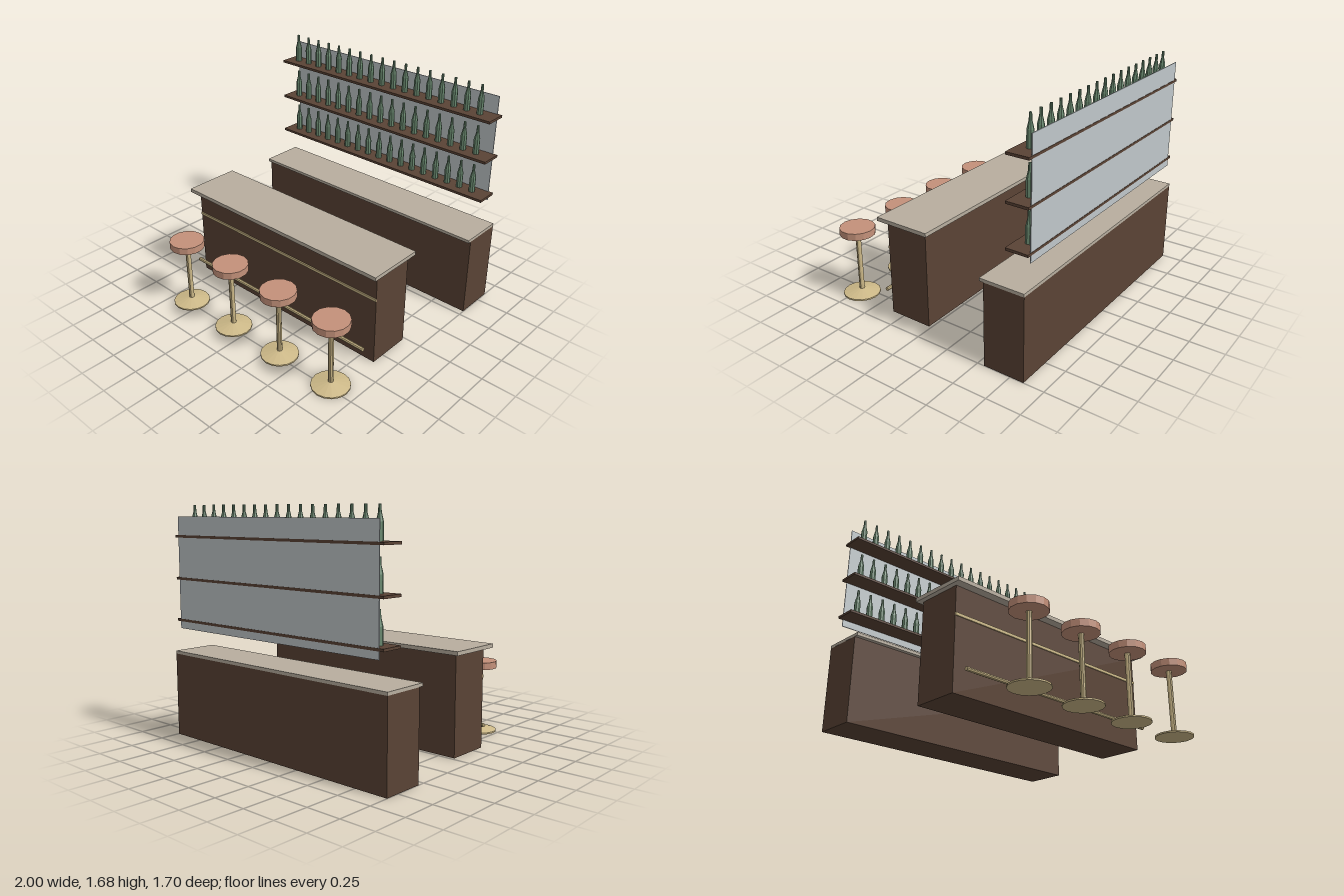
import * as THREE from 'three';

const mat = (name, color, extra = {}) => {
  const m = new THREE.MeshStandardMaterial({ color, ...extra });
  m.name = name;
  return m;
};

export function createModel() {
  const wood = mat('dark wood', 0x5a4335);
  const stone = mat('counter stone', 0xb8ae9f);
  const brass = mat('brass', 0xcdb988, { flatShading: true });
  const leather = mat('seat leather', 0xc4917a, { flatShading: true });
  const glass = mat('bottle green', 0x6a8a70, { flatShading: true });
  const mirror = mat('mirror', 0xc0c7ca);

  const root = new THREE.Group();
  root.name = 'bar';

  const add = (parent, name, geometry, material, x = 0, y = 0, z = 0) => {
    const mesh = new THREE.Mesh(geometry, material);
    mesh.name = name;
    mesh.position.set(x, y, z);
    parent.add(mesh);
    return mesh;
  };
  // Box given by its half width and its y and z ranges, centred on x = 0
  const slab = (name, halfX, y0, y1, z0, z1, material) =>
    add(root, name, new THREE.BoxGeometry(halfX * 2, y1 - y0, z1 - z0), material,
      0, (y0 + y1) / 2, (z0 + z1) / 2);

  // Front counter with brass trim and foot rail
  slab('frontCounterBody', 0.865, 0, 0.705, 0.02, 0.35, wood);
  slab('frontCounterTop', 0.9, 0.705, 0.733, -0.013, 0.413, stone);
  slab('frontTrim', 0.865, 0.5, 0.52, 0.348, 0.358, brass);
  const rail = add(root, 'footRail', new THREE.CylinderGeometry(0.014, 0.014, 1.666, 8), brass, 0, 0.137, 0.43);
  rail.rotation.z = Math.PI / 2;

  // Back counter
  slab('backCounterBody', 0.999, 0, 0.605, -0.85, -0.55, wood);
  slab('backCounterTop', 1.0, 0.605, 0.627, -0.85, -0.52, stone);

  // Mirror panel behind the shelves
  slab('mirror', 0.933, 0.8, 1.6, -0.848, -0.842, mirror);

  // Bottle outline: body, shoulder, neck
  const bottleGeometry = new THREE.LatheGeometry([
    [0, 0], [0.023, 0], [0.023, 0.112], [0.0105, 0.165], [0.009, 0.212], [0, 0.212],
  ].map(([r, y]) => new THREE.Vector2(r, y)), 8);

  // Shelves, each with a row of bottles
  for (const y of [0.86, 1.16, 1.46]) {
    slab('shelf', 0.966, y - 0.009, y + 0.009, -0.85, -0.688, wood);
    const row = new THREE.Group();
    row.name = 'bottleRow';
    root.add(row);
    for (let i = 0; i < 17; i++) {
      add(row, 'bottle', bottleGeometry, glass, -0.87 + i * 0.1067, y + 0.009, -0.77);
    }
  }

  // Stools
  const baseGeometry = new THREE.LatheGeometry([
    [0, 0], [0.134, 0], [0.134, 0.011], [0.02, 0.037], [0, 0.037],
  ].map(([r, y]) => new THREE.Vector2(r, y)), 16);
  const poleGeometry = new THREE.CylinderGeometry(0.019, 0.019, 0.46, 10);
  const seatGeometry = new THREE.CylinderGeometry(0.127, 0.127, 0.052, 14);
  for (let i = 0; i < 4; i++) {
    const stool = new THREE.Group();
    stool.name = 'stool';
    stool.position.set(-0.6 + i * 0.4667, 0, 0.718);
    root.add(stool);
    add(stool, 'stoolBase', baseGeometry, brass);
    add(stool, 'stoolPole', poleGeometry, brass, 0, 0.26, 0);
    add(stool, 'stoolSeat', seatGeometry, leather, 0, 0.51, 0);
  }

  return root;
}
